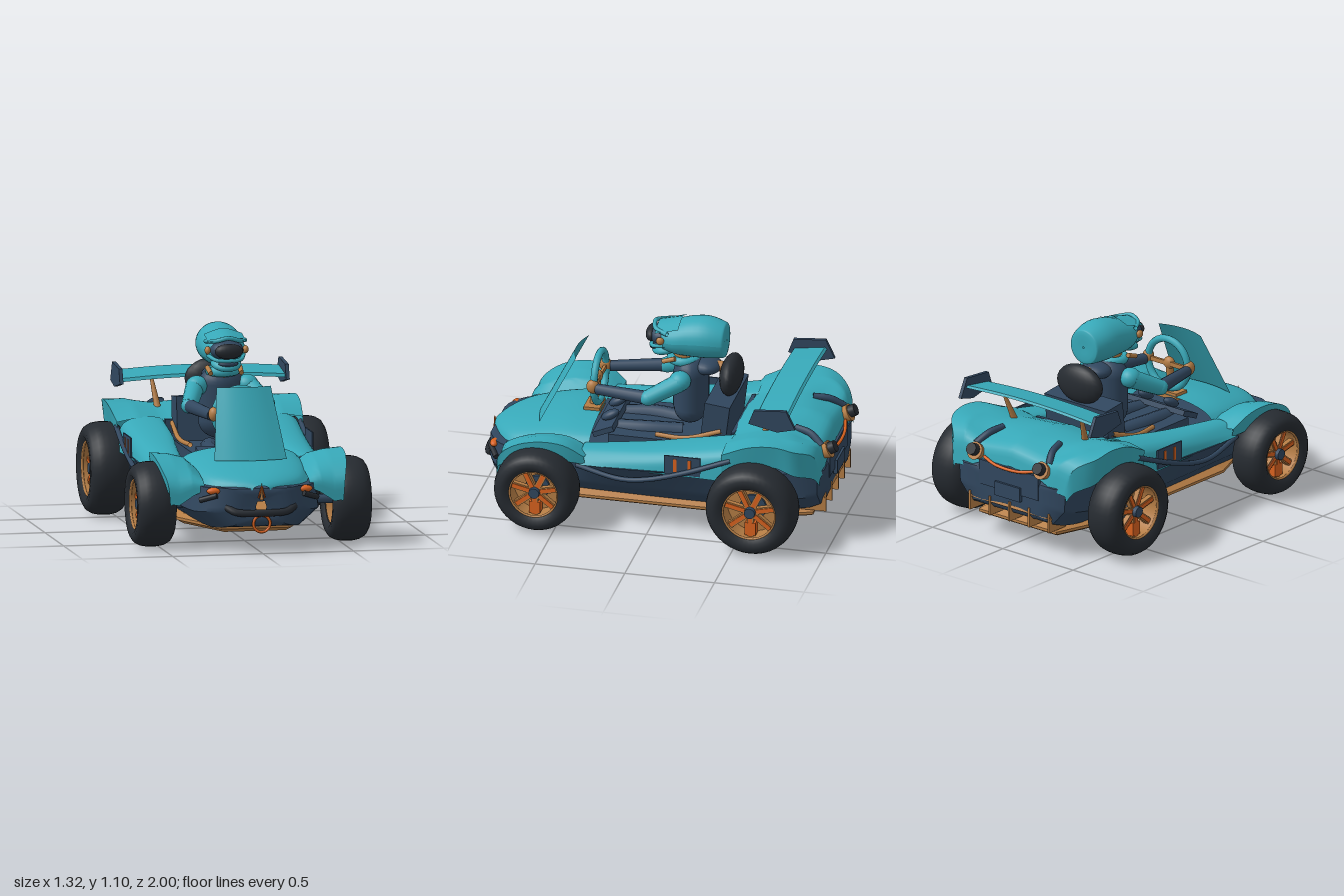
import * as THREE from 'three';
import { toCreasedNormals } from 'three/addons/utils/BufferGeometryUtils.js';

const mat = (name, color) => {
  const m = new THREE.MeshStandardMaterial({ color, side: THREE.DoubleSide });
  m.name = name;
  return m;
};
const teal = mat('teal paint', 0x37a8b8), navy = mat('navy panels', 0x31475f), brown = mat('bronze metal', 0xb57d45),
  orange = mat('orange accents', 0xd9621f), black = mat('black rubber', 0x262b31);
const V = (p) => new THREE.Vector3(...p);

export function createModel() {
  const root = new THREE.Group();
  const add = (name, geo, m, pos = [0, 0, 0], rot = [0, 0, 0], parent = root) => {
    const mesh = new THREE.Mesh(geo, m);
    mesh.name = name;
    mesh.position.set(...pos);
    mesh.rotation.set(...rot);
    parent.add(mesh);
    return mesh;
  };
  const box = (w, h, d) => new THREE.BoxGeometry(w, h, d);
  const ball = (x, y, z) => new THREE.SphereGeometry(1, 20, 14).scale(x, y, z);
  const tube = (pts, r) => new THREE.TubeGeometry(new THREE.CatmullRomCurve3(pts.map(V)), 24, r, 10);
  const rod = (name, a, b, r1, r2, m) => {
    const A = V(a), B = V(b);
    const mesh = add(name, new THREE.CylinderGeometry(r2, r1, A.distanceTo(B), 14), m, A.clone().lerp(B, 0.5).toArray());
    mesh.quaternion.setFromUnitVectors(new THREE.Vector3(0, 1, 0), B.sub(A).normalize());
  };
  const both = (fn) => [1, -1].forEach(fn);
  const flip = (s, pts) => pts.map(([x, y, z]) => [x * s, y, z]);

  // Skin stretched over rows of points; straight = hard-cornered rows
  const sheet = (rows, { closed = false, straight = false, n = 4 } = {}) => {
    const line = (pts, c, hard) => new THREE.CatmullRomCurve3(pts, c, hard ? 'catmullrom' : 'centripetal', 0);
    const nu = (rows[0].length - (closed ? 0 : 1)) * n, nv = (rows.length - 1) * n;
    const cross = rows.map((r) => line(r.map(V), closed, straight).getPoints(nu));
    const cols = cross[0].map((_, i) => line(cross.map((r) => r[i]), false, false).getPoints(nv));
    const pos = [], idx = [];
    cols.forEach((c) => c.forEach((p) => pos.push(p.x, p.y, p.z)));
    for (let i = 0; i < nu; i++) for (let j = 0; j < nv; j++) {
      const a = i * (nv + 1) + j, b = a + nv + 1;
      idx.push(a, b, a + 1, b, b + 1, a + 1);
    }
    const g = new THREE.BufferGeometry();
    g.setAttribute('position', new THREE.Float32BufferAttribute(pos, 3));
    g.setIndex(idx);
    g.computeVertexNormals();
    return straight ? toCreasedNormals(g, 0.6) : g;
  };
  const mirrorRow = (z, half) => [...half.map(([x, y]) => [x, y, z]), ...half.slice(0, -1).reverse().map(([x, y]) => [-x, y, z])];

  // Boat-shaped tub: z, bottom, waist and top half widths with heights
  const tub = [
    [0.95, 0.02, 0.22, 0.03, 0.25, 0.02, 0.28], [0.95, 0.12, 0.16, 0.18, 0.24, 0.16, 0.35],
    [0.86, 0.22, 0.13, 0.32, 0.22, 0.3, 0.355], [0.6, 0.27, 0.125, 0.38, 0.22, 0.37, 0.37],
    [0.32, 0.29, 0.125, 0.41, 0.23, 0.48, 0.37], [-0.25, 0.3, 0.125, 0.42, 0.23, 0.49, 0.39],
    [-0.6, 0.3, 0.13, 0.4, 0.23, 0.43, 0.4], [-0.92, 0.29, 0.19, 0.37, 0.28, 0.38, 0.42],
    [-0.94, 0.05, 0.27, 0.06, 0.3, 0.05, 0.34],
  ].map(([z, a, b, c, d, e, f]) => [[a, b, z], [c, d, z], [e, f, z], [-e, f, z], [-c, d, z], [-a, b, z]]);
  add('tub', sheet(tub, { closed: true, straight: true }), navy);

  // Bevelled skid plate and diffuser
  const plan = [[0.17, 0.78], [0.32, 0.42], [0.32, -0.6], [0.25, -0.84]];
  const outline = new THREE.Shape([...plan, ...plan.map(([x, z]) => [-x, z]).reverse()].map((p) => new THREE.Vector2(...p)));
  add('skidPlate', new THREE.ExtrudeGeometry(outline, { depth: 0.015, bevelThickness: 0.02, bevelSize: 0.035, bevelSegments: 1 })
    .rotateX(Math.PI / 2), brown, [0, 0.128, 0]);
  add('diffuserRamp', box(0.58, 0.015, 0.2), brown, [0, 0.19, -0.85], [0.4, 0, 0]);
  for (let i = 0; i < 5; i++) add('diffuserFin', box(0.012, 0.11, 0.14), brown, [-0.28 + i * 0.14, 0.2, -0.88]);

  // Hood
  const hood = [[0.955, 0.05, 0.34, 0.365], [0.91, 0.16, 0.345, 0.395], [0.82, 0.27, 0.355, 0.43], [0.68, 0.32, 0.38, 0.465],
    [0.52, 0.34, 0.4, 0.495], [0.36, 0.34, 0.42, 0.5]]
    .map(([z, w, e, c]) => mirrorRow(z, [[w, e], [w * 0.85, e + (c - e) * 0.5], [w * 0.5, e + (c - e) * 0.88], [0, c]]));
  add('hood', sheet(hood), teal);

  // Front fenders (z, top height, inner height, outer x, skirt drop) and side pods
  const arch = [[0.84, 0.26, 0.35, 0.48, 0.01], [0.83, 0.37, 0.385, 0.49, 0.06], [0.74, 0.455, 0.415, 0.515, 0.12], [0.6, 0.5, 0.44, 0.527, 0.12],
    [0.46, 0.49, 0.44, 0.52, 0.1], [0.35, 0.42, 0.4, 0.49, 0.05]];
  const pod = [[0.38, 0.31, 0.44, 0.49], [0.2, 0.29, 0.455, 0.49], [0, 0.27, 0.475, 0.495], [-0.2, 0.25, 0.505, 0.5], [-0.44, 0.25, 0.55, 0.51]];
  both((s) => {
    add('frontFender', sheet(arch.map(([z, y, yi, xo, d]) => flip(s, [[0.29, yi - 0.02, z], [0.35, (y + yi) / 2, z], [0.43, y - 0.008, z],
      [xo, y, z], [xo - 0.012, y - d, z]])), { straight: true }), teal);
    add('sidePod', sheet(pod.map(([z, xi, y, xo]) => flip(s, [[xi, 0.36, z], [xi + 0.005, y - 0.02, z], [xi + 0.05, y, z],
      [xo - 0.07, y - 0.01, z], [xo - 0.02, y - 0.05, z], [xo, 0.37, z]]))), teal);
    add('sideStrake', tube(flip(s, [[0.47, 0.36, 0.4], [0.495, 0.315, 0.15], [0.5, 0.33, 0], [0.51, 0.4, -0.22], [0.51, 0.5, -0.47]]), 0.014), navy);
    add('sidePanel', box(0.008, 0.11, 0.2), navy, [s * 0.503, 0.435, -0.2]);
    for (const z of [-0.16, -0.24]) add('panelStripe', box(0.008, 0.075, 0.018), orange, [s * 0.506, 0.435, z]);
  });

  // Rear bodywork with fenders and tail
  add('rearBody', sheet([
    mirrorRow(-0.42, [[0.5, 0.38], [0.515, 0.53], [0.4, 0.55], [0.26, 0.53], [0, 0.55]]),
    mirrorRow(-0.58, [[0.505, 0.47], [0.53, 0.6], [0.4, 0.6], [0.26, 0.58], [0, 0.6]]),
    mirrorRow(-0.72, [[0.505, 0.48], [0.53, 0.615], [0.4, 0.605], [0.26, 0.59], [0, 0.605]]),
    mirrorRow(-0.82, [[0.5, 0.44], [0.515, 0.59], [0.4, 0.6], [0.26, 0.56], [0, 0.595]]),
    mirrorRow(-0.915, [[0.43, 0.4], [0.425, 0.53], [0.34, 0.545], [0.24, 0.52], [0, 0.55]]),
    mirrorRow(-0.94, [[0.4, 0.35], [0.39, 0.38], [0.31, 0.39], [0.22, 0.43], [0, 0.46]]),
  ], { straight: true }), teal);
  add('bulkhead', box(0.5, 0.2, 0.02), navy, [0, 0.44, -0.42]);
  add('tailStrip', tube([[-0.18, 0.475, -0.945], [-0.08, 0.455, -0.965], [0.08, 0.455, -0.965], [0.18, 0.475, -0.945]], 0.009), orange);
  add('tailPanel', box(0.42, 0.14, 0.02), navy, [0, 0.385, -0.942]);
  add('tailPlate', box(0.18, 0.08, 0.02), navy, [0, 0.32, -0.955]);
  both((s) => {
    add('deckGroove', tube(flip(s, [[0.2, 0.59, -0.76], [0.225, 0.575, -0.85], [0.26, 0.525, -0.92]]), 0.019), navy);
    rod('exhaust', [s * 0.235, 0.47, -0.9], [s * 0.235, 0.5, -0.96], 0.035, 0.05, brown);
    rod('exhaustTip', [s * 0.235, 0.49, -0.93], [s * 0.235, 0.52, -0.99], 0.035, 0.033, black);
  });

  // Rear wing
  const wing = [-0.455, -0.23, 0, 0.23, 0.455].map((x) => {
    const y = 0.742 - x * x * 0.09;
    return [[x, y, -0.585], [x, y + 0.018, -0.595], [x, y + 0.043, -0.765], [x, y + 0.032, -0.778], [x, y, -0.68]];
  });
  add('wing', sheet(wing, { closed: true, straight: true }), teal);
  const plate = new THREE.Shape([[0.56, 0.715], [0.59, 0.795], [0.77, 0.81], [0.82, 0.705], [0.72, 0.68]].map((p) => new THREE.Vector2(...p)));
  both((s) => {
    add('wingEndPlate', new THREE.ExtrudeGeometry(plate, { depth: 0.02, bevelEnabled: false }).rotateY(Math.PI / 2), navy, [s * 0.46 - 0.01, 0, 0]);
    rod('wingStrut', [s * 0.25, 0.56, -0.6], [s * 0.275, 0.74, -0.67], 0.02, 0.009, brown);
  });

  // Nose fittings
  add('bumperBar', tube([[-0.19, 0.25, 0.93], [-0.14, 0.225, 0.965], [0, 0.22, 0.98], [0.14, 0.225, 0.965], [0.19, 0.25, 0.93]], 0.02), black);
  add('towRing', new THREE.TorusGeometry(0.046, 0.008, 8, 28), orange, [0, 0.16, 0.965]);
  add('noseFin', new THREE.ConeGeometry(0.01, 0.09, 8), brown, [0, 0.335, 0.965]);
  both((s) => {
    add('headlight', ball(0.043, 0.02, 0.025), orange, [s * 0.25, 0.337, 0.905]);
    rod('bumperStub', [s * 0.24, 0.315, 0.93], [s * 0.325, 0.285, 0.88], 0.015, 0.015, black);
    rod('noseStay', [s * 0.018, 0.3, 0.965], [0, 0.365, 0.965], 0.004, 0.004, orange);
  });

  // Curved windscreen
  add('windscreen', sheet([0, 0.5, 1].map((t) => {
    const w = 0.2 - 0.05 * t, y = 0.465 + 0.375 * t, z = 0.7 - 0.19 * t;
    return [-1, -0.5, 0, 0.5, 1].map((u) => [u * w, y, z - 0.033 * u * u]);
  })), teal);

  // Wheels
  const makeWheel = (name, R, x, z, s) => {
    const wheel = new THREE.Group();
    wheel.name = name;
    wheel.position.set(s * x, R, z);
    wheel.rotation.y = s > 0 ? 0 : Math.PI;
    root.add(wheel);
    const r = R * 0.58, half = [[r, 0.088], [R * 0.68, 0.106], [R * 0.8, 0.107], [R * 0.9, 0.092], [R * 0.97, 0.062], [R * 0.995, 0.03]];
    const prof = [...half.map(([a, b]) => [a, -b]), [R, 0], ...half.reverse()].map((p) => new THREE.Vector2(...p));
    const put = (n, g, m, pos, rot) => add(n, g, m, pos, rot, wheel);
    put('tyre', new THREE.LatheGeometry(prof, 40).rotateZ(-Math.PI / 2), black);
    put('rimBarrel', new THREE.CylinderGeometry(r, r, 0.17, 32, 1, true).rotateZ(Math.PI / 2), brown);
    put('rimBack', new THREE.CylinderGeometry(r, r, 0.01, 32).rotateZ(Math.PI / 2), brown, [-0.03, 0, 0]);
    put('rimLip', new THREE.TorusGeometry(r, 0.007, 8, 32).rotateY(Math.PI / 2), brown, [0.084, 0, 0]);
    put('brakeDisc', new THREE.CylinderGeometry(r * 0.5, r * 0.5, 0.015, 24).rotateZ(Math.PI / 2), navy, [-0.015, 0, 0]);
    put('hub', new THREE.CylinderGeometry(0.03, 0.034, 0.09, 12).rotateZ(-Math.PI / 2), navy, [0.035, 0, 0]);
    for (let i = 0; i < 7; i++) {
      const a = (i + 0.5) * Math.PI * 2 / 7;
      put('spoke', box(0.03, r, 0.036).translate(0, r / 2, 0), brown, [0.04, 0, 0], [a, 0, 0]);
      put('spokeInlay', box(0.008, r * 0.75, 0.022).translate(0, r * 0.6, 0), orange, [0.056, 0, 0], [a, 0, 0]);
    }
    put('caliper', box(0.06, r * 0.5, 0.06), orange, [0.03, -r * 0.68, 0]);
    put('axle', new THREE.CylinderGeometry(0.025, 0.025, 0.2, 10).rotateZ(Math.PI / 2), navy, [-0.12, 0, 0]);
  };
  both((s) => {
    makeWheel('frontWheel', 0.232, 0.54, 0.6, s);
    makeWheel('rearWheel', 0.254, 0.555, -0.605, s);
  });

  // Cockpit
  add('seatBase', box(0.46, 0.08, 0.66), navy, [0, 0.405, -0.05]);
  add('footPanel', box(0.44, 0.03, 0.12), navy, [0, 0.45, 0.31], [0.4, 0, 0]);
  add('seatBack', box(0.44, 0.28, 0.14), navy, [0, 0.54, -0.31], [-0.12, 0, 0]);
  add('headrest', ball(0.155, 0.11, 0.06), black, [0, 0.77, -0.355]);
  add('headrestPad', ball(0.09, 0.045, 0.08), navy, [0, 0.81, -0.22]);
  rod('headrestStay', [0, 0.815, -0.13], [0, 0.81, -0.33], 0.03, 0.03, brown);
  add('steeringWheel', new THREE.TorusGeometry(0.14, 0.02, 10, 36), teal, [0, 0.675, 0.38]);
  add('steeringSpoke', box(0.28, 0.025, 0.015), brown, [0, 0.675, 0.38]);
  add('steeringHub', ball(0.035, 0.035, 0.025), brown, [0, 0.675, 0.39]);
  rod('steeringColumn', [0, 0.46, 0.42], [0, 0.675, 0.39], 0.025, 0.02, brown);
  add('dash', box(0.14, 0.04, 0.09), brown, [0, 0.495, 0.41]);

  // Driver's body
  add('torso', new THREE.CapsuleGeometry(0.1, 0.2, 8, 20).scale(1.25, 1, 0.95), navy, [0, 0.67, -0.13]);
  add('chestStrip', box(0.03, 0.2, 0.008), teal, [0, 0.65, -0.034]);
  add('collar', new THREE.TorusGeometry(0.07, 0.025, 8, 24).rotateX(Math.PI / 2), teal, [0, 0.845, -0.09]);
  rod('neck', [0, 0.82, -0.1], [0, 0.92, -0.08], 0.055, 0.055, brown);
  both((s) => {
    add('shoulder', ball(0.06, 0.055, 0.06), teal, [s * 0.14, 0.765, -0.1]);
    rod('upperArm', [s * 0.15, 0.76, -0.1], [s * 0.215, 0.68, 0.06], 0.052, 0.044, teal);
    add('elbow', ball(0.045, 0.042, 0.045), teal, [s * 0.215, 0.68, 0.06]);
    rod('forearm', [s * 0.215, 0.68, 0.06], [s * 0.15, 0.67, 0.36], 0.038, 0.03, navy);
    add('glove', ball(0.03, 0.04, 0.035), brown, [s * 0.145, 0.68, 0.385]);
    add('leg', tube([[s * 0.07, 0.43, -0.1], [s * 0.1, 0.435, 0.1], [s * 0.09, 0.42, 0.29]], 0.05), navy);
    add('shoe', ball(0.035, 0.025, 0.055), navy, [s * 0.09, 0.495, 0.3], [0.5, 0, 0]);
    add('harness', tube(flip(s, [[0.2, 0.46, 0.02], [0.228, 0.47, -0.15], [0.225, 0.53, -0.35]]), 0.013), brown);
  });

  // Helmet with goggles, peak and chin guard
  const ring = ([z, rx, ry, cy]) => Array.from({ length: 12 }, (_, i) => {
    const a = i / 12 * Math.PI * 2;
    return [Math.cos(a) * rx, cy + Math.sin(a) * ry, z];
  });
  add('helmet', sheet([[0.04, 0.01, 0.01, 0.96], [0.03, 0.085, 0.065, 0.965], [-0.04, 0.115, 0.09, 0.965], [-0.12, 0.122, 0.108, 0.975],
    [-0.22, 0.122, 0.115, 0.98], [-0.31, 0.1, 0.1, 0.972], [-0.325, 0.09, 0.092, 0.97], [-0.326, 0.005, 0.005, 0.97]].map(ring),
  { closed: true, n: 3 }), teal);
  add('goggleFrame', ball(0.092, 0.055, 0.08), navy, [0, 0.975, 0.025]);
  add('goggleLens', ball(0.078, 0.042, 0.035), black, [0, 0.975, 0.085]);
  add('peak', sheet([-0.08, -0.02, 0.05].map((z) => [-1, 0, 1].map((u) => [u * 0.105, 1.08 - 0.03 * u * u - (z + 0.08) * 0.25, z]))), teal);
  add('browRidge', tube([[-0.11, 1.02, -0.02], [-0.06, 1.03, 0.055], [0, 1.045, 0.07], [0.06, 1.03, 0.055], [0.11, 1.02, -0.02]], 0.012), teal);
  add('chinGuard', ball(0.085, 0.035, 0.09), teal, [0, 0.9, 0], [0.3, 0, 0]);
  add('chinBar', tube([[-0.1, 0.945, 0], [-0.06, 0.925, 0.075], [0.06, 0.925, 0.075], [0.1, 0.945, 0]], 0.011), teal);
  add('mouthVent', ball(0.055, 0.016, 0.03), navy, [0, 0.905, 0.07]);
  both((s) => {
    add('goggleClip', ball(0.016, 0.022, 0.022), brown, [s * 0.105, 0.975, 0.02]);
    rod('chinStrap', [s * 0.09, 0.87, -0.06], [s * 0.085, 0.845, 0.01], 0.013, 0.013, brown);
  });
  return root;
}
